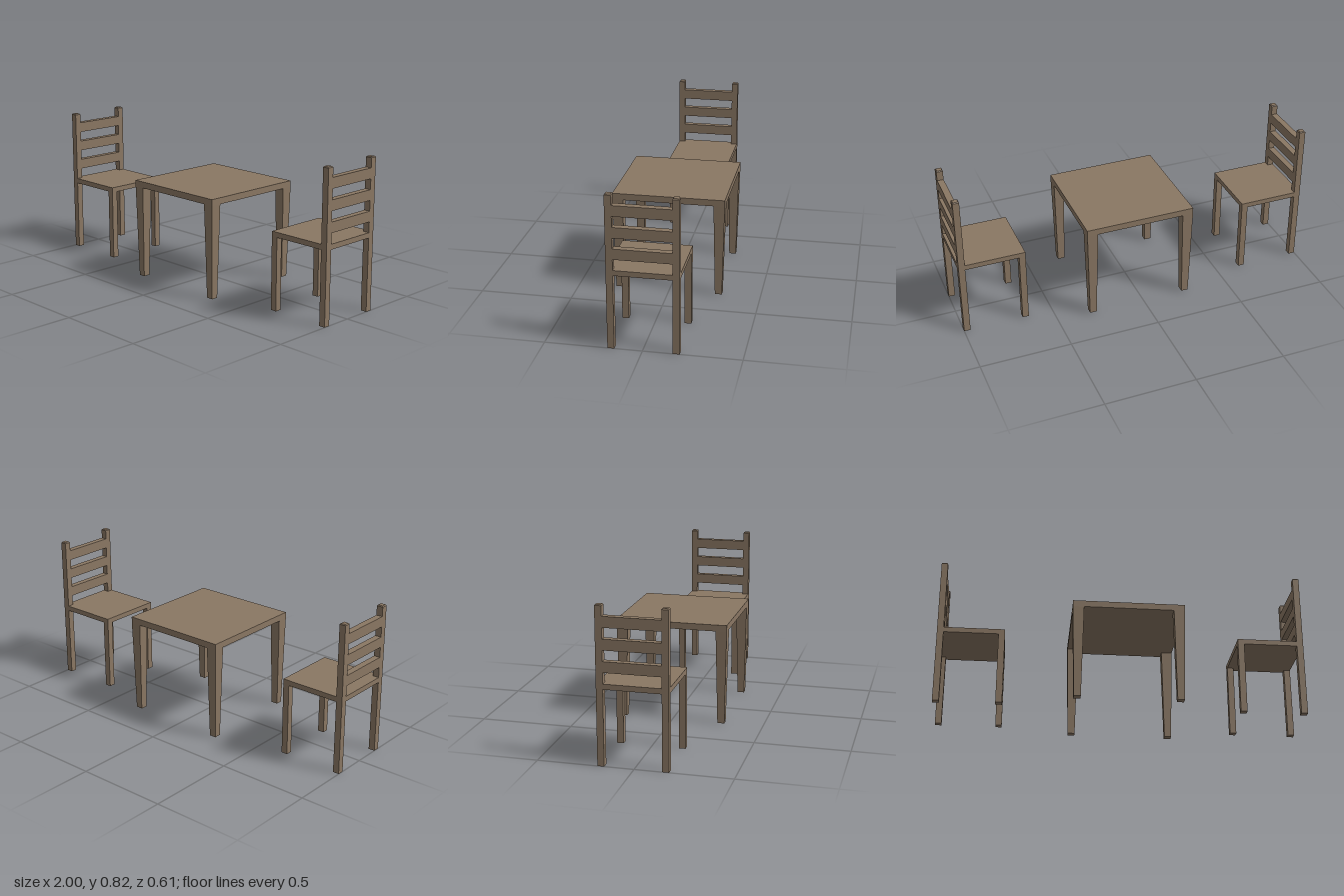
import * as THREE from 'three';

const wood = new THREE.MeshStandardMaterial({ color: 0x8a7763 });
wood.name = 'brownWood';

// Box given by its min and max corners
function box(name, [x0, y0, z0], [x1, y1, z1]) {
  const mesh = new THREE.Mesh(new THREE.BoxGeometry(x1 - x0, y1 - y0, z1 - z0), wood);
  mesh.name = name;
  mesh.position.set((x0 + x1) / 2, (y0 + y1) / 2, (z0 + z1) / 2);
  return mesh;
}

// Square block whose width changes from bottom to top
function taper(name, x, z, y0, y1, bottom, top) {
  const geo = new THREE.CylinderGeometry(top / Math.SQRT2, bottom / Math.SQRT2, y1 - y0, 4).toNonIndexed();
  geo.rotateY(Math.PI / 4);
  geo.computeVertexNormals();
  const mesh = new THREE.Mesh(geo, wood);
  mesh.name = name;
  mesh.position.set(x, (y0 + y1) / 2, z);
  return mesh;
}

// Chair with its back at -x and its seat reaching towards +x
function makeChair(name) {
  const chair = new THREE.Group();
  chair.name = name;
  const back = -0.182, front = 0.182, side = 0.182, post = 0.035;
  const postFront = back + post, inner = side - post;

  chair.add(box('seat', [postFront, 0.397, -side], [front, 0.425, side]));
  chair.add(box('seatRail', [back, 0.397, -inner], [postFront, 0.425, inner]));

  for (const s of [-1, 1]) {
    const z0 = Math.min(s * inner, s * side), z1 = z0 + post;
    chair.add(box('frontLeg', [front - post, 0, z0], [front, 0.397, z1]));
    chair.add(box('backPost', [back, 0, z0], [postFront, 0.813, z1]));
    // Bevelled end of the post
    chair.add(taper('postCap', back + post / 2, z0 + post / 2, 0.813, 0.818, post, post - 0.008));
  }
  // Ladder back
  for (let i = 0; i < 3; i++) {
    const y = 0.482 + i * 0.112;
    chair.add(box('backSlat', [back, y, -inner], [postFront, y + 0.056, inner]));
  }
  return chair;
}

function makeTable() {
  const table = new THREE.Group();
  table.name = 'table';
  const half = 0.303;
  table.add(box('tableTop', [-half, 0.52, -half], [half, 0.555, half]));
  for (const sx of [-1, 1]) for (const sz of [-1, 1]) {
    table.add(taper('tableLeg', sx * 0.273, sz * 0.273, 0.005, 0.52, 0.038, 0.06));
  }
  return table;
}

export function createModel() {
  const model = new THREE.Group();
  model.name = 'diningSet';

  const table = makeTable();
  table.position.x = 0.025;

  const rightChair = makeChair('rightChair');
  rightChair.position.set(-0.818, 0, -0.005);

  const leftChair = makeChair('leftChair');
  leftChair.position.set(0.818, 0, -0.005);
  leftChair.rotation.y = Math.PI;

  model.add(table, rightChair, leftChair);
  return model;
}
